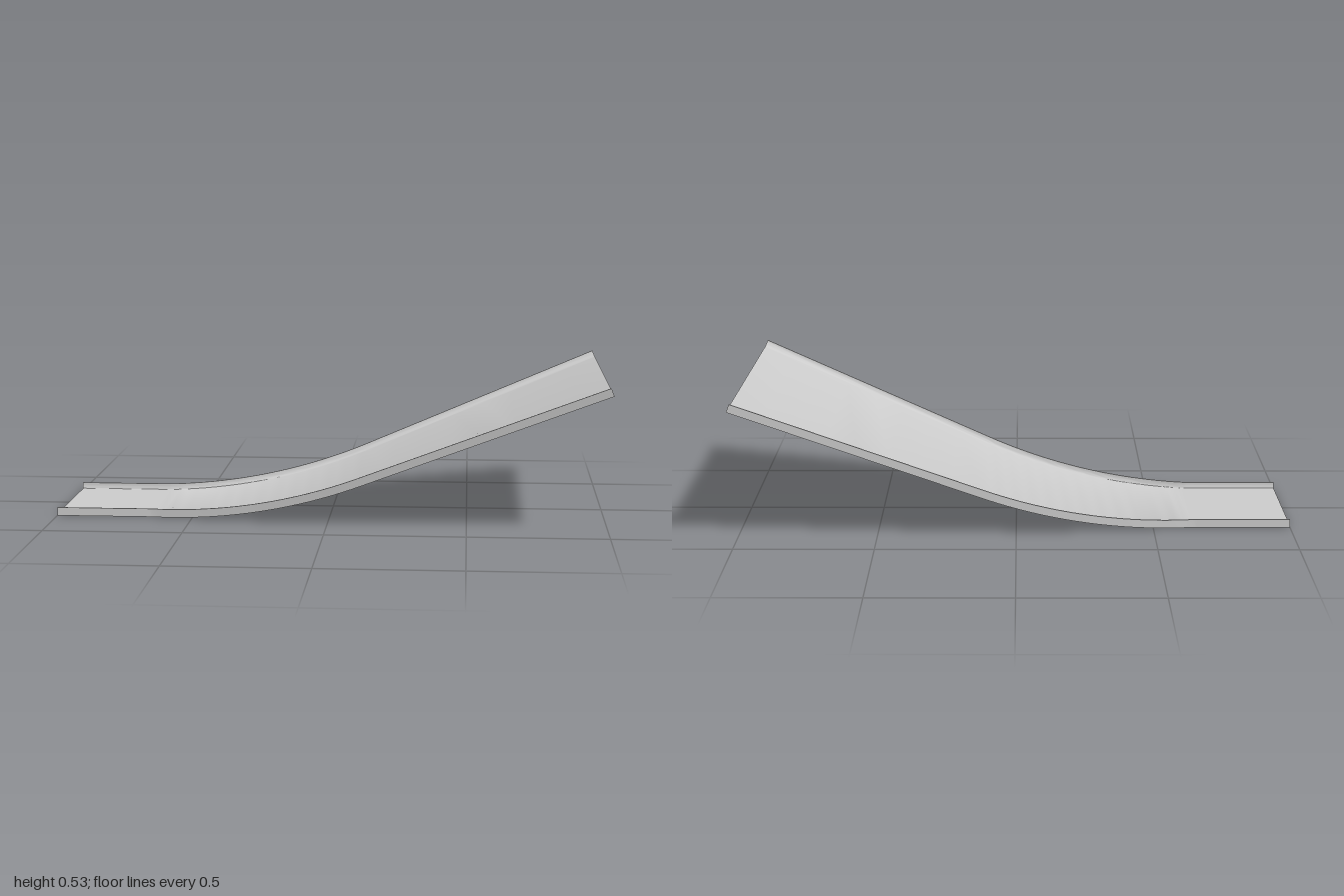
import * as THREE from 'three';
import { toCreasedNormals } from 'three/addons/utils/BufferGeometryUtils.js';

const ANGLE = THREE.MathUtils.degToRad(22);
const X0 = -0.65, RADIUS = 2.06; // start and radius of the upward bend
const HEIGHT = 0.03, FLOOR = 0.007, RIM = 0.006;

// Stations along the underside: flat run, circular bend, straight climb
function stations() {
  const list = [-1, -0.83, -0.66].map(x => ({ x, y: 0, a: 0 }));
  const bend = 24, climb = 8;
  for (let i = 0; i <= bend; i++) {
    const a = ANGLE * i / bend;
    list.push({ x: X0 + RADIUS * Math.sin(a), y: RADIUS * (1 - Math.cos(a)), a });
  }
  const end = list[list.length - 1];
  for (let i = 1; i <= climb; i++) {
    const x = THREE.MathUtils.lerp(end.x, 1, i / climb);
    list.push({ x, y: end.y + (x - end.x) * Math.tan(ANGLE), a: ANGLE });
  }
  return list;
}

// Cross-section (z, height): thin floor with a filleted lip on both edges
function section(x) {
  const t = Math.max(0, (x - X0) / (1 - X0));
  const half = 0.242 + 0.284 * t;
  const foot = 0.006 + 0.022 * t;
  const right = [[half, 0], [half, HEIGHT]];
  for (let i = 0; i <= 5; i++) {
    const q = Math.PI / 2 * i / 5;
    right.push([half - RIM - foot * (1 - Math.cos(q)), HEIGHT - (HEIGHT - FLOOR) * Math.sin(q)]);
  }
  const left = right.map(([z, h]) => [-z, h]).reverse();
  return [...right, ...left];
}

// Sweep the widening section along the stations and close both ends
function chuteGeometry() {
  const path = stations(), pos = [], idx = [];
  const n = section(0).length;
  path.forEach(({ x, y, a }) => {
    for (const [z, h] of section(x)) pos.push(x - h * Math.sin(a), y + h * Math.cos(a), z);
  });
  for (let s = 0; s < path.length - 1; s++) {
    for (let i = 0; i < n; i++) {
      const a = s * n + i, b = s * n + (i + 1) % n;
      idx.push(a, a + n, b, b, a + n, b + n);
    }
  }
  const last = (path.length - 1) * n;
  const outline = section(1).map(p => new THREE.Vector2(...p));
  for (const [a, b, c] of THREE.ShapeUtils.triangulateShape(outline, [])) {
    idx.push(a, b, c, last + a, last + c, last + b);
  }
  const geo = new THREE.BufferGeometry();
  geo.setAttribute('position', new THREE.Float32BufferAttribute(pos, 3));
  geo.setIndex(idx);
  return toCreasedNormals(geo, 0.5);
}

export function createModel() {
  const group = new THREE.Group();
  group.name = 'flaredChute';
  const material = new THREE.MeshStandardMaterial({ color: 0xcccccc });
  const chute = new THREE.Mesh(chuteGeometry(), material);
  chute.name = 'lippedRamp';
  group.add(chute);
  return group;
}
